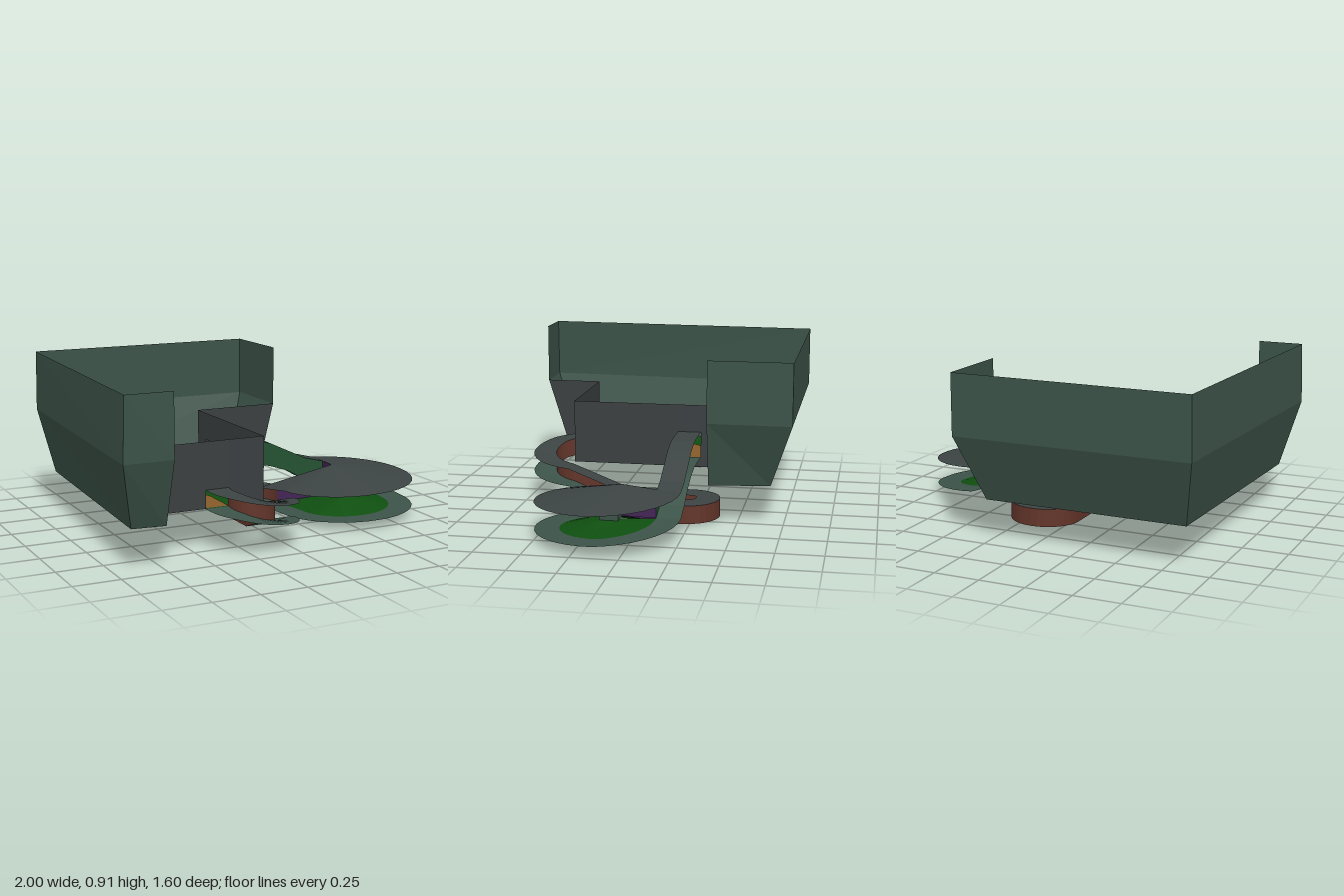
import * as THREE from 'three';

const PI = Math.PI;
const mat = (name, color) => {
  const m = new THREE.MeshStandardMaterial({ color, side: THREE.DoubleSide, flatShading: true });
  m.name = name;
  return m;
};

// Ruled sheet between two equally long lists of [x, y, z] points
function strip(a, b) {
  const pos = [];
  for (let i = 0; i < a.length - 1; i++) {
    pos.push(...a[i], ...a[i + 1], ...b[i + 1], ...a[i], ...b[i + 1], ...b[i]);
  }
  const g = new THREE.BufferGeometry();
  g.setAttribute('position', new THREE.Float32BufferAttribute(pos, 3));
  g.computeVertexNormals();
  return g;
}

// Piecewise linear lookup through evenly spaced keys, t in 0..1
function keyed(keys, t) {
  const s = Math.min(t, 0.99999) * (keys.length - 1);
  const i = Math.floor(s);
  return THREE.MathUtils.lerp(keys[i], keys[i + 1], s - i);
}

// Flat sheet from a shape drawn in (x, z)
const sheet = (shape, y) => new THREE.ShapeGeometry(shape, 12).rotateX(PI / 2).translate(0, y, 0);

export function createModel() {
  const model = new THREE.Group();
  model.name = 'caveCourse';
  const wall = mat('green grey rock', 0x3c5349);
  const grey = mat('dark grey', 0x3b3f41);
  const roofMat = mat('roof grey', 0x3c4443);
  const grass = mat('grass green', 0x0f4f10);
  const dirt = mat('dirt path', 0x855a28);
  const brown = mat('red brown', 0x63352a);
  const purple = mat('purple', 0x48265a);
  const green = mat('forest green', 0x245233);

  const add = (name, geometry, material, parent = model) => {
    const m = new THREE.Mesh(geometry, material);
    m.name = name;
    parent.add(m);
    return m;
  };

  // ---- Main room: floor, path and flared outer walls ----
  const FLOOR = 0.22, MID = 0.575, TOP = 0.91;
  const base = [[-0.735, 0.69], [-0.915, 0.67], [-0.85, -0.68], [0.27, -0.68], [0.31, -0.35]];
  const mid = [[-0.735, 0.8], [-1, 0.8], [-0.915, -0.8], [0.4, -0.8], [0.4, -0.35]];
  const rim = [[-0.735, 0.8], [-0.99, 0.8], [-0.91, -0.8], [0.4, -0.8], [0.4, -0.35]];
  const at = (pts, y) => pts.map(([x, z]) => [x, y, z]);
  add('lowerRockWall', strip(at(base, FLOOR), at(mid, MID)), wall);
  add('upperRockWall', strip(at(mid, MID), at(rim, TOP)), wall);

  const outline = [...base, [-0.09, -0.35], [-0.09, 0.48], [-0.735, 0.48]];
  add('roomFloor', sheet(new THREE.Shape(outline.map(p => new THREE.Vector2(...p))), FLOOR), grass);

  const path = new THREE.Shape();
  path.moveTo(-0.09, -0.25);
  path.lineTo(-0.42, -0.25);
  path.absarc(-0.42, 0.02, 0.27, -PI / 2, -PI, true);
  path.lineTo(-0.69, 0.135);
  path.absarc(-0.555, 0.135, 0.135, PI, PI / 2, true);
  path.lineTo(-0.425, 0.27);
  path.lineTo(-0.425, 0.478);
  path.lineTo(-0.295, 0.478);
  path.lineTo(-0.295, 0.27);
  path.absarc(-0.43, 0.27, 0.135, 0, -PI / 2, true);
  path.lineTo(-0.555, 0.135);
  path.lineTo(-0.555, 0.02);
  path.absarc(-0.42, 0.02, 0.135, PI, 1.5 * PI, false);
  path.lineTo(-0.09, -0.115);
  for (const s of [1, -1]) add('dirtPath', sheet(path, FLOOR + s * 0.003), dirt);

  const block = add('smallBlock', new THREE.BoxGeometry(0.1, 0.05, 0.06), brown);
  block.position.set(-0.45, 0.245, 0.022);

  // Grey inner walls, with gaps left for the two doorways
  const panel = (x0, z0, x1, z1, y0 = FLOOR, y1 = MID) =>
    add('innerWall', strip([[x0, y0, z0], [x1, y0, z1]], [[x0, y1, z0], [x1, y1, z1]]), grey);
  add('innerWall', strip([[-0.735, FLOOR, 0.48], [-0.735, FLOOR, 0.69]],
    [[-0.735, MID, 0.48], [-0.735, MID, 0.8]]), grey);
  add('innerWall', strip([[-0.09, FLOOR, -0.35], [0.31, FLOOR, -0.35]],
    [[-0.09, MID, -0.35], [0.4, MID, -0.35]]), grey);
  panel(-0.735, 0.48, -0.425, 0.48);
  panel(-0.295, 0.48, -0.09, 0.48);
  panel(-0.425, 0.48, -0.295, 0.48, 0.32);
  panel(-0.09, 0.48, -0.09, -0.12);
  panel(-0.09, -0.25, -0.09, -0.35);
  panel(-0.09, -0.12, -0.09, -0.25, 0.42);
  panel(-0.09, -0.12, -0.09, -0.25, FLOOR, 0.275);

  // ---- Tunnel: each station has a left and right edge, floor and roof height ----
  const tunnel = (name, stations, wallMat) => {
    const g = new THREE.Group();
    g.name = name;
    const side = (k, h) => stations.map(s => [s[k][0], s[h], s[k][1]]);
    add('tunnelFloor', strip(side('l', 'f'), side('r', 'f')), wall, g);
    add('tunnelRoof', strip(side('l', 'c'), side('r', 'c')), roofMat, g);
    add('tunnelSideWall', strip(side('l', 'f'), side('l', 'c')), wallMat, g);
    model.add(g);
  };

  // Front U turn, straight descent, then back U turn
  const lower = [];
  const bend = (cx, cz, rl, rr, dir, keys) => {
    for (let i = 0; i <= 16; i++) {
      const a = PI * (1 - i / 16), f = keyed(keys, i / 16);
      const p = r => [cx + r * Math.cos(a), cz + dir * r * Math.sin(a)];
      lower.push({ l: p(rl), r: p(rr), f, c: f + 0.1 });
    }
  };
  bend(-0.165, 0.475, 0.13, 0.26, 1, [0.22, 0.2, 0.165, 0.14, 0.12]);
  lower.push({ l: [-0.035, 0.165], r: [0.095, 0.165], f: 0, c: 0.1 });
  bend(0.16, -0.2, 0.195, 0.065, -1, [0, 0.008, 0.01]);
  tunnel('lowerTunnel', lower, brown);

  // Upper tunnel climbing back to the room
  const upper = [];
  for (let i = 0; i <= 12; i++) {
    const x = 0.61 - 0.7 * i / 12, t = i / 12;
    upper.push({
      l: [x, -0.12], r: [x, -0.25],
      f: keyed([0.11, 0.15, 0.215, 0.255, 0.275, 0.275, 0.275], t),
      c: keyed([0.25, 0.28, 0.335, 0.39, 0.418, 0.42, 0.42], t),
    });
  }
  tunnel('upperTunnel', upper, green);

  // ---- Round chamber: ring floor, raised green centre and conical roof ----
  const chamber = new THREE.Group();
  chamber.name = 'roundChamber';
  model.add(chamber);
  const outer = [], inner = [], core = [], roofEdge = [], roofTip = [];
  const ring = (ox, oz, ix, iz, f, c) => {
    outer.push([ox, f, oz]);
    inner.push([ix, f, iz]);
    core.push([THREE.MathUtils.clamp(ix, 0.56, 0.66), 0.1, THREE.MathUtils.clamp(iz, 0.07, 0.17)]);
    roofEdge.push([ox, c, oz]);
    roofTip.push([0.56, 0.272, 0.07]);
  };
  ring(0.225, -0.2, 0.355, -0.2, 0.01, 0.11);
  for (let i = 0; i <= 27; i++) {
    const t = i / 27, a = PI - 1.5 * PI * t, c = Math.cos(a), s = Math.sin(a);
    ring(0.61 + 0.388 * c, 0.135 + 0.385 * s, 0.61 + 0.255 * c, 0.135 + 0.255 * s,
      keyed([0.03, 0.047, 0.06, 0.11], t), keyed([0.165, 0.195, 0.215, 0.25], t));
  }
  add('ringFloor', strip(outer, inner), wall, chamber);
  add('centreFloor', strip(inner, core), grass, chamber);
  add('chamberRoof', strip(roofEdge, roofTip), roofMat, chamber);
  add('roofEntry', strip([[0.225, 0.11, -0.2], [0.56, 0.272, 0.07]],
    [[0.355, 0.11, -0.2], [0.56, 0.272, 0.07]]), roofMat, chamber);
  add('roofExit', strip([[0.61, 0.25, -0.25], [0.56, 0.272, 0.07]],
    [[0.61, 0.25, -0.12], [0.56, 0.272, 0.07]]), roofMat, chamber);

  // Purple walls either side of the gap, and the hollow pillar
  add('purpleWalls', strip(
    [[0.355, 0.01, -0.2], [0.56, 0.1, 0.07], [0.61, 0.11, -0.12]],
    [[0.355, 0.11, -0.2], [0.56, 0.272, 0.07], [0.61, 0.25, -0.12]]), purple, chamber);
  const pillar = add('pillar',
    new THREE.CylinderGeometry(0.0707, 0.0707, 0.15, 4, 1, true).rotateY(PI / 4), wall, chamber);
  pillar.position.set(0.61, 0.175, 0.12);

  return model;
}
